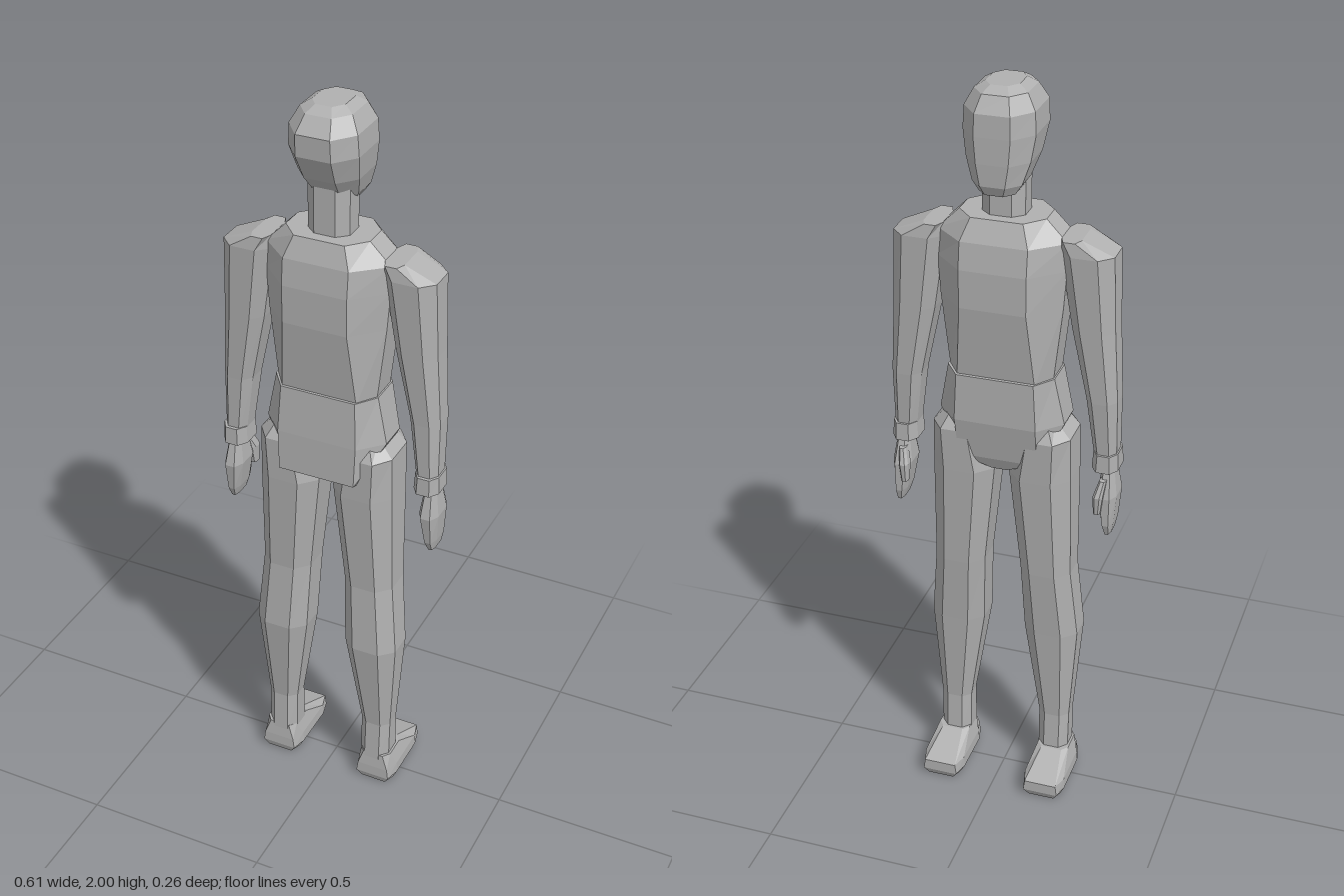
import * as THREE from 'three';

// Octagonal loft. Each ring, from low to high: [y, x0, x1, z0, z1, flatX, flatZ],
// where flatX and flatZ are the shares of the width and depth left uncut by the corners.
function loft(rings, side = 1) {
  const pos = [];
  const idx = [];
  rings.forEach(([y, x0, x1, z0, z1, fx = 0.5, fz = 0.5]) => {
    const cx = side * (x0 + x1) / 2, cz = (z0 + z1) / 2;
    const hx = (x1 - x0) / 2, hz = (z1 - z0) / 2;
    const ring = [[1, fz], [1, -fz], [fx, -1], [-fx, -1], [-1, -fz], [-1, fz], [-fx, 1], [fx, 1]];
    ring.forEach(([u, v]) => pos.push(cx + u * hx, y, cz + v * hz));
  });
  const last = (rings.length - 1) * 8;
  for (let r = 0; r < last; r += 8) {
    for (let i = 0; i < 8; i++) {
      const a = r + i, b = r + (i + 1) % 8;
      idx.push(a, b, b + 8, a, b + 8, a + 8);
    }
  }
  for (let i = 1; i < 7; i++) {
    idx.push(0, i + 1, i, last, last + i, last + i + 1);
  }
  const geo = new THREE.BufferGeometry();
  geo.setAttribute('position', new THREE.Float32BufferAttribute(pos, 3));
  geo.setIndex(idx);
  geo.computeVertexNormals();
  return geo;
}

export function createModel() {
  const model = new THREE.Group();
  model.name = 'mannequin';
  const grey = new THREE.MeshStandardMaterial({ color: 0xb0b0b0, flatShading: true });
  grey.name = 'plain grey';

  const add = (name, rings, side = 1, parent = model) => {
    const mesh = new THREE.Mesh(loft(rings, side), grey);
    mesh.name = name;
    parent.add(mesh);
  };

  // Head, with the face towards -z
  add('head', [
    [1.745, -0.045, 0.045, -0.08, 0.02],
    [1.77, -0.062, 0.062, -0.092, 0.05],
    [1.825, -0.08, 0.08, -0.094, 0.095],
    [1.89, -0.09, 0.09, -0.094, 0.128],
    [1.945, -0.087, 0.087, -0.092, 0.13],
    [1.985, -0.066, 0.066, -0.068, 0.1],
    [2.0, -0.042, 0.042, -0.04, 0.072],
  ]);
  add('neck', [
    [1.64, -0.055, 0.055, -0.03, 0.07],
    [1.8, -0.055, 0.055, -0.03, 0.07],
  ]);

  // Trunk
  add('chest', [
    [1.25, -0.135, 0.135, -0.07, 0.105, 0.75, 0.45],
    [1.45, -0.158, 0.158, -0.095, 0.128, 0.54, 0.35],
    [1.55, -0.165, 0.165, -0.095, 0.128, 0.52, 0.33],
    [1.62, -0.165, 0.165, -0.085, 0.12, 0.52, 0.33],
    [1.675, -0.11, 0.11, -0.06, 0.1, 0.6, 0.4],
  ]);
  add('pelvis', [
    [0.985, -0.04, 0.04, -0.045, 0.04],
    [1.02, -0.115, 0.115, -0.06, 0.125, 0.9, 0.45],
    [1.13, -0.165, 0.165, -0.08, 0.122, 0.65, 0.4],
    [1.258, -0.14, 0.14, -0.08, 0.113, 0.72, 0.45],
  ]);

  for (const [side, label] of [[1, 'left'], [-1, 'right']]) {
    const arm = new THREE.Group();
    arm.name = label + 'Arm';
    add('sleeve', [
      [1.04, 0.24, 0.298, -0.02, 0.062],
      [1.21, 0.218, 0.298, -0.035, 0.065],
      [1.4, 0.178, 0.288, -0.042, 0.075],
      [1.6, 0.146, 0.281, -0.05, 0.085],
      [1.635, 0.15, 0.2, -0.045, 0.08, 0.6, 0.6],
    ], side, arm);
    add('cuff', [
      [1.012, 0.235, 0.304, -0.03, 0.073],
      [1.06, 0.238, 0.302, -0.028, 0.071],
    ], side, arm);
    add('hand', [
      [0.83, 0.275, 0.293, -0.025, 0.045],
      [0.86, 0.266, 0.298, -0.035, 0.06],
      [0.94, 0.252, 0.304, -0.036, 0.072],
      [1.02, 0.262, 0.292, -0.012, 0.05],
    ], side, arm);
    add('thumb', [
      [0.9, 0.252, 0.27, -0.05, -0.025],
      [0.95, 0.25, 0.276, -0.054, -0.015],
      [0.99, 0.262, 0.28, -0.035, 0.0],
    ], side, arm);

    const leg = new THREE.Group();
    leg.name = label + 'Leg';
    add('trouserLeg', [
      [0.08, 0.1, 0.184, -0.018, 0.076],
      [0.2, 0.1, 0.185, -0.012, 0.07],
      [0.48, 0.058, 0.205, -0.032, 0.105],
      [0.68, 0.05, 0.187, -0.05, 0.094],
      [0.97, 0.02, 0.185, -0.065, 0.11],
      [1.09, 0.045, 0.183, -0.07, 0.112],
      [1.135, 0.09, 0.14, -0.045, 0.085],
    ], side, leg);
    add('shoe', [
      [0, 0.1, 0.195, -0.122, 0.073, 0.75, 0.7],
      [0.02, 0.088, 0.205, -0.132, 0.08, 0.82, 0.6],
      [0.05, 0.09, 0.203, -0.132, 0.079, 0.78, 0.6],
      [0.094, 0.102, 0.19, -0.025, 0.074, 0.65, 0.6],
    ], side, leg);
    model.add(arm, leg);
  }
  return model;
}
